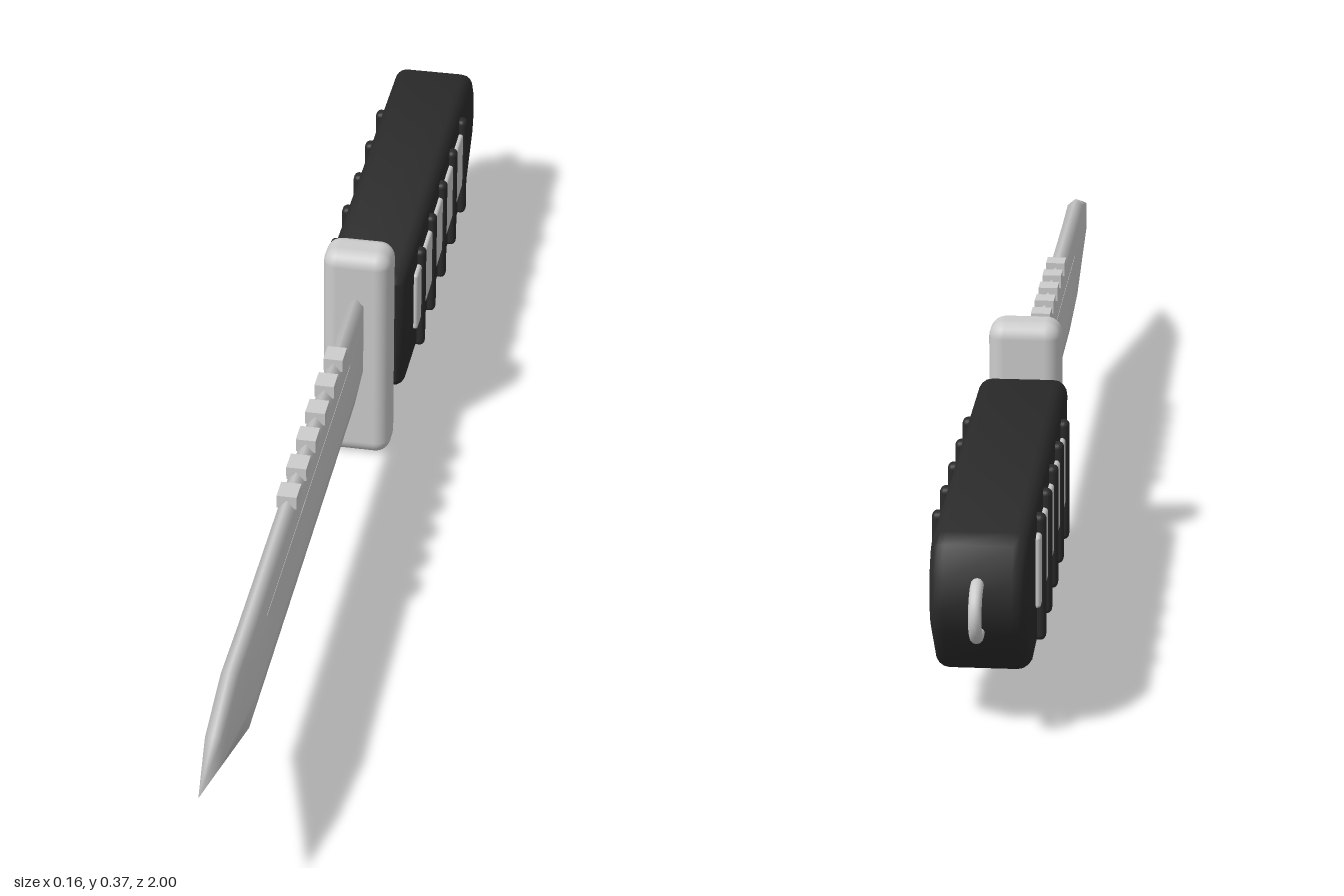
import * as THREE from 'three';
import { mergeVertices, toCreasedNormals } from 'three/addons/utils/BufferGeometryUtils.js';
import { RoundedBoxGeometry } from 'three/addons/geometries/RoundedBoxGeometry.js';

const steel = new THREE.MeshStandardMaterial({ color: 0xcccccc });
steel.name = 'steel grey';
const rubber = new THREE.MeshStandardMaterial({ color: 0x2b2b2b });
rubber.name = 'rubber black';

// Side profile of [z, y] points, extruded across x with rounded edges
function sideSlab(points, halfWidth, bevel) {
  const shape = new THREE.Shape(points.map(([z, y]) => new THREE.Vector2(z, y)));
  const depth = 2 * (halfWidth - bevel);
  const geo = new THREE.ExtrudeGeometry(shape, {
    depth, bevelEnabled: bevel > 0, bevelThickness: bevel, bevelSize: bevel,
    bevelOffset: -bevel, bevelSegments: 4,
  });
  geo.translate(0, 0, -depth / 2);
  geo.rotateY(-Math.PI / 2);
  return toCreasedNormals(geo, 0.75);
}

// Blade lofted through six-sided cross-sections; each station is [z, bottom, top, half thickness]
function bladeGeometry() {
  const stations = [
    [-0.2, 0.1, 0.3, 0.013], [0.67, 0.1, 0.3, 0.013], [0.79, 0.151, 0.3, 0.013],
    [0.9, 0.198, 0.269, 0.012], [1, 0.24, 0.24, 0],
  ];
  const pos = [], index = [];
  for (const [z, bottom, top, w] of stations) {
    const k = (top - bottom) / 0.2;
    const hi = top - 0.015 * k, lo = bottom + 0.065 * k;
    pos.push(0, top, z, -w, hi, z, -w, lo, z, 0, bottom, z, w, lo, z, w, hi, z);
  }
  for (let s = 0; s < stations.length - 1; s++) {
    for (let i = 0; i < 6; i++) {
      const a = s * 6 + i, b = s * 6 + (i + 1) % 6;
      index.push(a, b, a + 6, b, b + 6, a + 6);
    }
  }
  for (let i = 1; i < 5; i++) index.push(0, i + 1, i);
  let geo = new THREE.BufferGeometry();
  geo.setAttribute('position', new THREE.Float32BufferAttribute(pos, 3));
  geo.setIndex(index);
  geo = mergeVertices(geo);
  geo.computeVertexNormals();
  return geo;
}

export function createModel() {
  const model = new THREE.Group();
  model.name = 'knife';
  const add = (name, geo, mat, x = 0, y = 0, z = 0) => {
    const mesh = new THREE.Mesh(geo, mat);
    mesh.name = name;
    mesh.position.set(x, y, z);
    model.add(mesh);
    return mesh;
  };

  // Blade with a shallow raised strip and teeth on the spine
  add('blade', bladeGeometry(), steel);
  add('bladeStrip', sideSlab([[-0.05, 0.215], [0.55, 0.215], [0.6, 0.25], [-0.05, 0.25]], 0.0135, 0), steel);
  for (let i = 0; i < 6; i++) {
    add('spineTooth', new THREE.BoxGeometry(0.03, 0.021, 0.036), steel, 0, 0.2965, 0.005 + i * 0.073);
  }

  // Cross guard
  add('guard', new RoundedBoxGeometry(0.108, 0.374, 0.07, 4, 0.024), steel, 0, 0.188, -0.2);

  // Handle with softened corners and a tapered end
  add('handle', sideSlab([
    [-0.235, 0.1], [-0.25, 0.085], [-0.855, 0.074], [-0.875, 0.08], [-0.945, 0.155], [-0.957, 0.19],
    [-0.955, 0.235], [-0.93, 0.275], [-0.91, 0.287], [-0.25, 0.296], [-0.235, 0.285],
  ], 0.066, 0.02), rubber);

  // Inlaid grip panels and raised ribs on both sides
  for (const side of [1, -1]) {
    add('gripPanel', new RoundedBoxGeometry(0.02, 0.104, 0.49, 2, 0.005), steel, side * 0.063, 0.197, -0.57);
    for (let i = 0; i < 5; i++) {
      add('gripRib', new RoundedBoxGeometry(0.022, 0.182, 0.022, 3, 0.008), rubber,
        side * 0.067, 0.182, -0.37 - i * 0.104);
    }
  }

  // Lanyard ring
  const ring = add('lanyardRing', new THREE.TorusGeometry(0.036, 0.009, 12, 32), steel, 0, 0.193, -0.955);
  ring.rotation.y = Math.PI / 2;
  return model;
}
